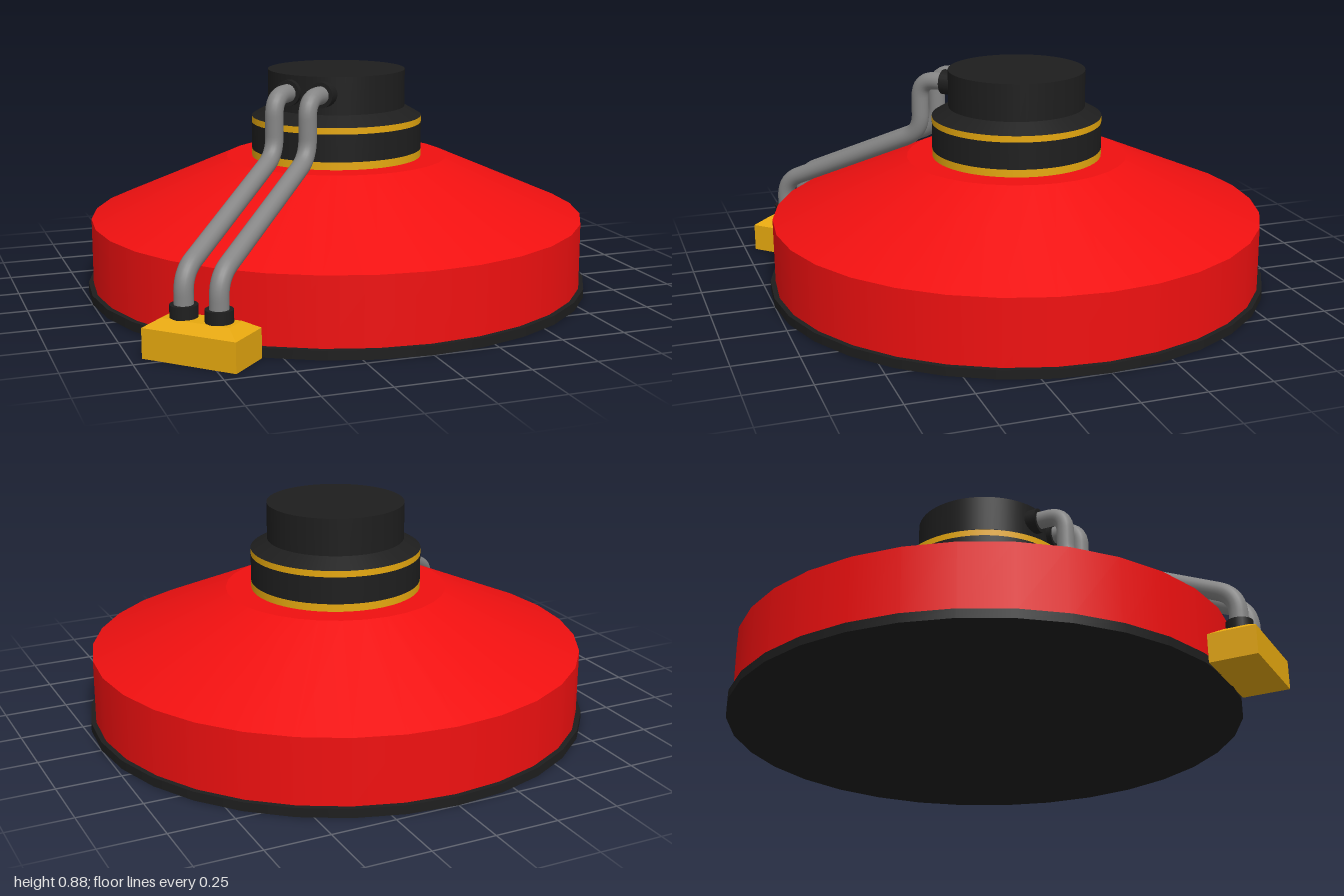
import * as THREE from 'three';

const mat = (color) => new THREE.MeshStandardMaterial({ color });
const RED = mat(0xf01010), BLACK = mat(0x1e1e1e), GOLD = mat(0xe6a80f), GREY = mat(0x858585);

function add(parent, name, geometry, material, x = 0, y = 0, z = 0) {
  const mesh = new THREE.Mesh(geometry, material);
  mesh.name = name;
  mesh.position.set(x, y, z);
  parent.add(mesh);
  return mesh;
}

// Round band between two heights, with bottom and top radius
function band(parent, name, material, y0, y1, r0, r1 = r0, sides = 64) {
  return add(parent, name, new THREE.CylinderGeometry(r1, r0, y1 - y0, sides), material, 0, (y0 + y1) / 2, 0);
}

// Path through points (x fixed) with rounded corners
function roundedPath(points, radius) {
  const path = new THREE.CurvePath();
  let from = points[0];
  for (let i = 1; i < points.length - 1; i++) {
    const p = points[i];
    const a = p.clone().add(points[i - 1].clone().sub(p).setLength(radius));
    const b = p.clone().add(points[i + 1].clone().sub(p).setLength(radius));
    path.add(new THREE.LineCurve3(from, a));
    path.add(new THREE.QuadraticBezierCurve3(a, p, b));
    from = b;
  }
  path.add(new THREE.LineCurve3(from, points[points.length - 1]));
  return path;
}

export function createModel() {
  const model = new THREE.Group();
  model.name = 'domedTank';

  // Body
  band(model, 'baseRim', BLACK, 0, 0.035, 1, 1, 32);
  band(model, 'bodyWall', RED, 0.03, 0.295, 0.98, 0.98, 32);
  band(model, 'bodyCone', RED, 0.295, 0.53, 0.98, 0.44, 32);

  // Banded neck and cap
  band(model, 'lowerNeckRing', GOLD, 0.525, 0.56, 0.338);
  band(model, 'neck', BLACK, 0.56, 0.667, 0.338);
  band(model, 'upperNeckRing', GOLD, 0.667, 0.692, 0.338);
  band(model, 'capShoulder', BLACK, 0.692, 0.73, 0.338, 0.272);
  band(model, 'cap', BLACK, 0.73, 0.877, 0.272);

  // Pipe assembly: local +z points outward at the front right
  const feed = new THREE.Group();
  feed.name = 'feedAssembly';
  feed.rotation.y = -Math.PI / 4;
  model.add(feed);

  // Connector block with a sloped top
  add(feed, 'connectorBlock', new THREE.BoxGeometry(0.37, 0.11, 0.18), GOLD, 0, 0.055, 1.08);
  const top = new THREE.BoxGeometry(0.37, 0.03, 0.18);
  const pos = top.attributes.position;
  for (let i = 0; i < pos.count; i++) {
    if (pos.getY(i) > 0) {
      pos.setX(i, Math.sign(pos.getX(i)) * 0.135);
      pos.setZ(i, Math.sign(pos.getZ(i)) * 0.045);
    }
  }
  top.computeVertexNormals();
  add(feed, 'connectorTop', top, GOLD, 0, 0.125, 1.08);

  // Twin pipes with collars at both ends
  for (const x of [-0.07, 0.07]) {
    const points = [[0.14, 1.077], [0.295, 1.077], [0.59, 0.4], [0.81, 0.4], [0.81, 0.23]]
      .map(([y, z]) => new THREE.Vector3(x, y, z));
    add(feed, 'pipe', new THREE.TubeGeometry(roundedPath(points, 0.075), 80, 0.035, 20), GREY);
    add(feed, 'lowerCollar', new THREE.CylinderGeometry(0.05, 0.05, 0.05, 24), BLACK, x, 0.16, 1.077);
    const collar = add(feed, 'upperCollar', new THREE.CylinderGeometry(0.05, 0.05, 0.08, 24), BLACK, x, 0.81, 0.25);
    collar.rotation.x = Math.PI / 2;
  }
  return model;
}
